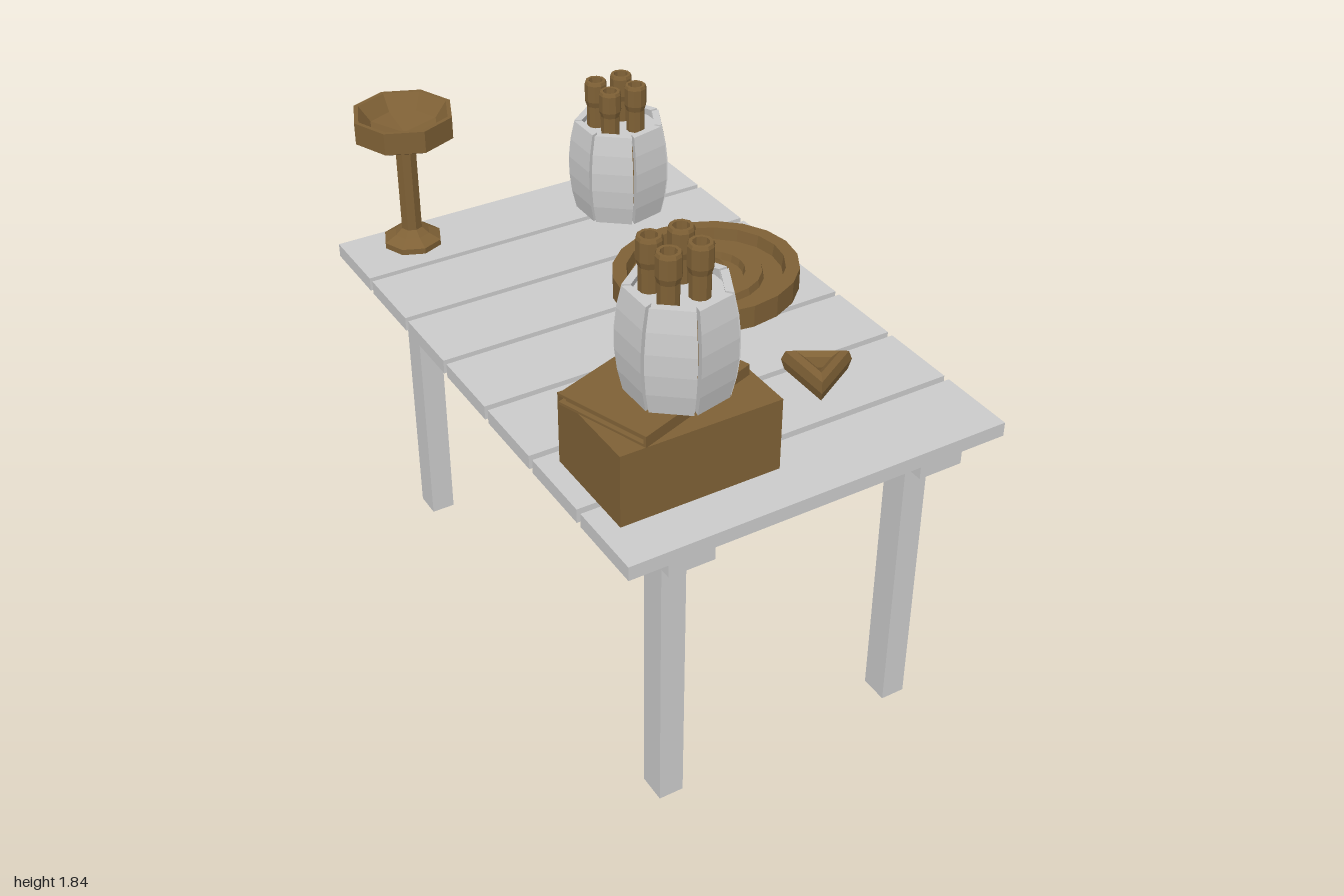
import * as THREE from 'three';

const grey = new THREE.MeshStandardMaterial({ color: 0xcccccc, flatShading: true });
const brown = new THREE.MeshStandardMaterial({ color: 0x7f6136, flatShading: true });

function add(parent, name, geometry, material, x = 0, y = 0, z = 0) {
  const mesh = new THREE.Mesh(geometry, material);
  mesh.name = name;
  mesh.position.set(x, y, z);
  parent.add(mesh);
  return mesh;
}

function group(parent, name, x = 0, y = 0, z = 0) {
  const g = new THREE.Group();
  g.name = name;
  g.position.set(x, y, z);
  parent.add(g);
  return g;
}

// Box given by its lower and upper corners
function slab(parent, name, material, [x0, y0, z0], [x1, y1, z1]) {
  return add(parent, name, new THREE.BoxGeometry(x1 - x0, y1 - y0, z1 - z0), material,
    (x0 + x1) / 2, (y0 + y1) / 2, (z0 + z1) / 2);
}

function lathe(points, sides) {
  return new THREE.LatheGeometry(points.map(([r, y]) => new THREE.Vector2(r, y)), sides);
}

function addTable(parent) {
  const table = group(parent, 'table');
  for (let i = 0; i < 7; i++) {
    const z = -0.97 + i * 0.284;
    slab(table, 'plank', grey, [-0.64, 1.038, z], [0.64, 1.085, z + 0.262]);
  }
  for (const x of [-0.437, 0.415]) {
    slab(table, 'rail', grey, [x - 0.075, 0.99, -0.95], [x + 0.075, 1.038, 0.99]);
  }
  for (const x of [-0.426, 0.42]) {
    for (const z of [-0.795, 0.832]) {
      slab(table, 'leg', grey, [x - 0.041, 0, z - 0.047], [x + 0.041, 0.99, z + 0.047]);
    }
  }
}

// Bowed barrel stave, its width following the radius
function staveGeometry(height) {
  const thickness = 0.024;
  const geo = new THREE.BoxGeometry(thickness, height, 1, 1, 5, 1);
  const p = geo.attributes.position;
  for (let i = 0; i < p.count; i++) {
    const t = p.getY(i) / (height / 2);
    const r = 0.161 - 0.021 * t * t - thickness / 2 + p.getX(i);
    p.setX(i, r);
    p.setZ(i, p.getZ(i) * 2 * r * Math.tan(Math.PI / 7) * 0.92);
  }
  geo.computeVertexNormals();
  return geo;
}

function addBarrel(parent, x, y, z) {
  const h = 0.33;
  const barrel = group(parent, 'barrel', x, y, z);
  const stave = staveGeometry(h);
  for (let i = 0; i < 7; i++) {
    add(barrel, 'stave', stave, grey, 0, h / 2, 0).rotation.y = Math.PI + i * Math.PI * 2 / 7;
  }
  const lid = new THREE.CylinderGeometry(0.128, 0.128, 0.02, 14);
  add(barrel, 'barrelTop', lid, grey, 0, h - 0.035, 0);
  add(barrel, 'barrelBottom', lid, grey, 0, 0.02, 0);
  // Four rods with a hollow in the upper end
  const rod = lathe([[0, 0.03], [0.03, 0.03], [0.032, 0.38], [0.038, 0.4], [0.038, 0.46],
    [0.034, 0.47], [0.024, 0.47], [0.022, 0.44], [0, 0.44]], 10);
  for (const dx of [-0.049, 0.049]) {
    for (const dz of [-0.049, 0.049]) add(barrel, 'rod', rod, brown, dx - 0.014, 0, dz);
  }
}

function addGoblet(parent) {
  const profile = [[0, 1.105], [0.1, 1.105], [0.1, 1.125], [0.06, 1.145], [0.036, 1.165],
    [0.036, 1.46], [0.06, 1.49], [0.13, 1.495], [0.17, 1.515], [0.17, 1.59],
    [0.155, 1.59], [0.115, 1.54], [0, 1.515]];
  add(parent, 'goblet', lathe(profile, 8), brown, -0.425, 0, -0.83);
}

function addPlate(parent) {
  // Ringed dish with a raised boss
  const profile = [[0, 1.1], [1, 1.1], [1, 1.177], [0.85, 1.177], [0.83, 1.135], [0.62, 1.135],
    [0.6, 1.16], [0.42, 1.16], [0.4, 1.135], [0.2, 1.135], [0.19, 1.178], [0, 1.203]];
  add(parent, 'ringedPlate', lathe(profile, 20), brown, 0.28, 0, -0.082).scale.set(0.314, 1, 0.287);
}

function addTriangle(parent) {
  const ring = new THREE.TorusGeometry(0.079, 0.046, 8, 3).rotateX(Math.PI / 2);
  add(parent, 'triangularRing', ring, brown, 0.282, 1.134, 0.55);
}

function addBook(parent, x, y, z, angle) {
  const book = group(parent, 'book', x, y, z);
  book.rotation.y = THREE.MathUtils.degToRad(angle);
  const w = 0.225, d = 0.157;
  slab(book, 'lowerCover', brown, [-w, 0, -d], [w, 0.008, d]);
  slab(book, 'upperCover', brown, [-w, 0.028, -d], [w, 0.036, d]);
  slab(book, 'spine', brown, [-w, 0.008, d - 0.01], [w, 0.028, d]);
  slab(book, 'pages', brown, [-w + 0.015, 0.008, -d + 0.015], [w - 0.015, 0.028, d - 0.01]);
}

function addBookCase(parent) {
  // Crate open at the back
  const crate = group(parent, 'crate');
  const t = 0.015, x0 = -0.58, x1 = -0.06, y0 = 1.093, y1 = 1.332, z0 = 0.503, z1 = 0.85;
  slab(crate, 'crateFloor', brown, [x0, y0, z0], [x1, y0 + t, z1]);
  slab(crate, 'crateTop', brown, [x0, y1 - t, z0], [x1, y1, z1]);
  slab(crate, 'crateFront', brown, [x0, y0 + t, z1 - t], [x1, y1 - t, z1]);
  slab(crate, 'crateSide', brown, [x0, y0 + t, z0], [x0 + t, y1 - t, z1 - t]);
  slab(crate, 'crateSide', brown, [x1 - t, y0 + t, z0], [x1, y1 - t, z1 - t]);
  // Books inside, then one on top
  addBook(parent, -0.32, 1.108, 0.672, 1);
  addBook(parent, -0.31, 1.144, 0.665, 3);
  addBook(parent, -0.334, 1.18, 0.62, -8);
  addBook(parent, -0.32, 1.216, 0.668, 2);
  addBook(parent, -0.34, 1.333, 0.63, 19.3);
}

export function createModel() {
  const model = new THREE.Group();
  model.name = 'furnishedTable';
  addTable(model);
  addBarrel(model, 0.306, 1.11, -0.688);
  addBarrel(model, -0.303, 1.37, 0.69);
  addGoblet(model);
  addPlate(model);
  addTriangle(model);
  addBookCase(model);
  return model;
}
